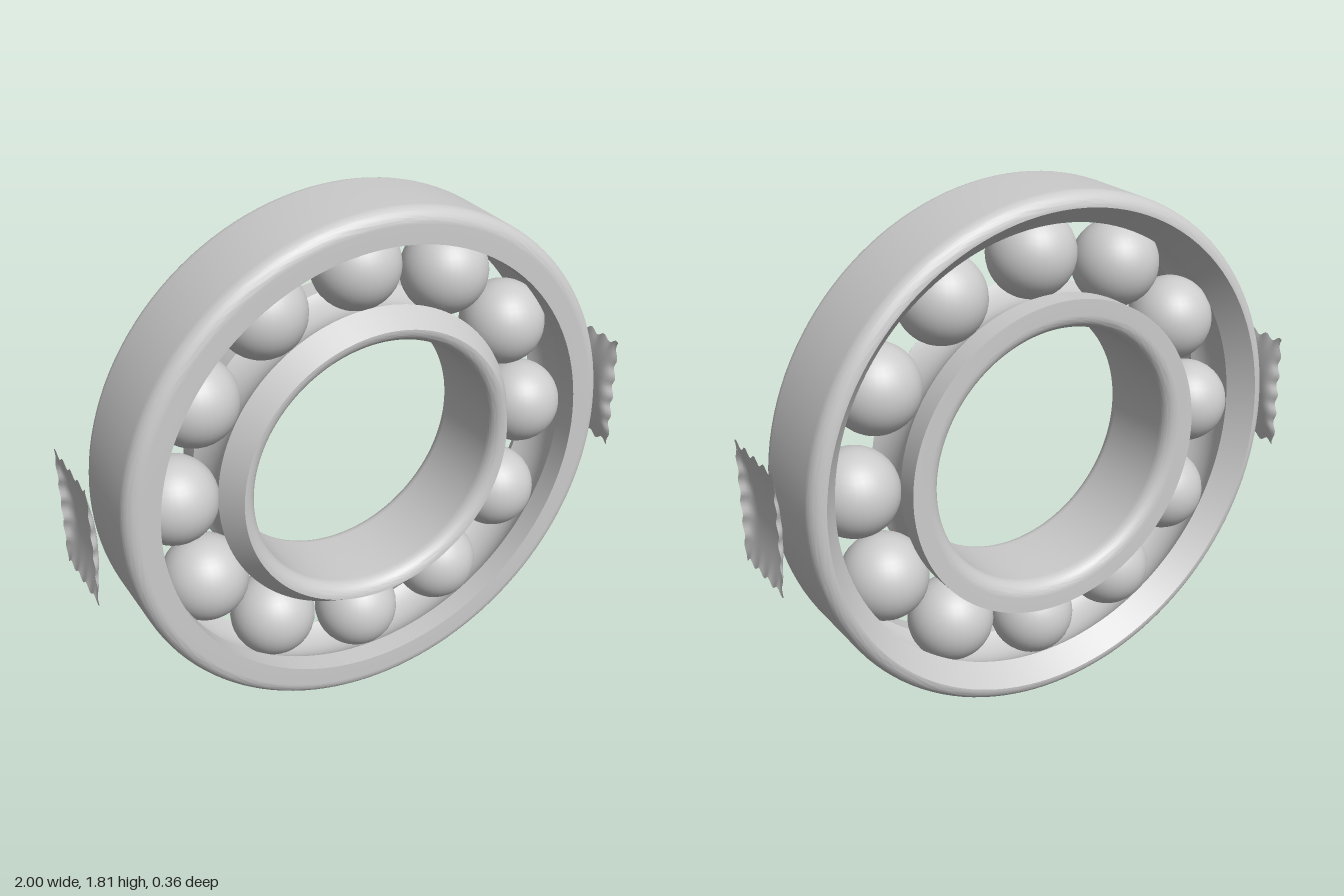
import * as THREE from 'three';
import { toCreasedNormals } from 'three/addons/utils/BufferGeometryUtils.js';

const CENTRE_Y = 0.905, HALF_WIDTH = 0.18, FILLET = 0.05;
const PITCH = 0.675, BALL_RADIUS = 0.15, GROOVE = 0.152, BALL_COUNT = 12;
const Q = Math.PI / 2;

export function createModel() {
  const model = new THREE.Group();
  const material = new THREE.MeshStandardMaterial({ color: 0xcccccc });
  const sheetMaterial = new THREE.MeshStandardMaterial({ color: 0xcccccc, side: THREE.DoubleSide });

  const bearing = new THREE.Group();
  bearing.name = 'bearing';
  bearing.position.y = CENTRE_Y;
  model.add(bearing);

  const add = (parent, name, geometry, mat = material) => {
    const mesh = new THREE.Mesh(geometry, mat);
    mesh.name = name;
    parent.add(mesh);
    return mesh;
  };

  // Race: rounded rim on one side, ball groove on the other; side +1 outer, -1 inner
  const raceGeometry = (rim, lip, side) => {
    const w = HALF_WIDTH, c = w - FILLET, r = rim - side * FILLET;
    const start = side > 0 ? -Q : Q, facing = side > 0 ? 0 : Math.PI;
    const a = Math.acos(Math.abs(lip - PITCH) / GROOVE);
    const shape = new THREE.Shape();
    shape.moveTo(lip, -side * w);
    shape.absarc(r, -side * c, FILLET, start, start + Q);
    shape.absarc(r, side * c, FILLET, start + Q, start + 2 * Q);
    shape.lineTo(lip, side * w);
    shape.absarc(PITCH, 0, GROOVE, facing + a, facing - a, true);
    shape.closePath();
    const lathe = new THREE.LatheGeometry(shape.getPoints(8), 128).rotateX(Q);
    return toCreasedNormals(lathe, 0.55);
  };
  add(bearing, 'outerRace', raceGeometry(0.905, 0.79, 1));
  add(bearing, 'innerRace', raceGeometry(0.455, 0.56, -1));

  // Balls
  const ballGeometry = new THREE.SphereGeometry(BALL_RADIUS, 32, 20);
  for (let i = 0; i < BALL_COUNT; i++) {
    const t = (i / BALL_COUNT) * Math.PI * 2;
    add(bearing, 'ball', ballGeometry).position.set(PITCH * Math.cos(t), PITCH * Math.sin(t), 0);
  }

  // Loose side plates: shallow dishes with ragged rims, bulging towards the bearing
  for (const side of [1, -1]) {
    const plate = new THREE.PlaneGeometry(2, 2, 24, 32);
    const p = plate.attributes.position;
    for (let i = 0; i < p.count; i++) {
      const u = p.getX(i), v = p.getY(i);
      const depth = 0.032 * (1 - v * v) * (1 - u ** 8);
      const ragZ = 0.007 * u ** 6 * Math.sin(v * 17 + u);
      const ragY = 0.01 * v ** 6 * Math.sin(u * 13 + v);
      p.setXYZ(i, side * (1 - depth), v * 0.205 + ragY, -side * (u * 0.143 + ragZ));
    }
    plate.computeVertexNormals();
    add(model, side > 0 ? 'leftSidePlate' : 'rightSidePlate', plate, sheetMaterial).position.y = CENTRE_Y;
  }
  return model;
}
